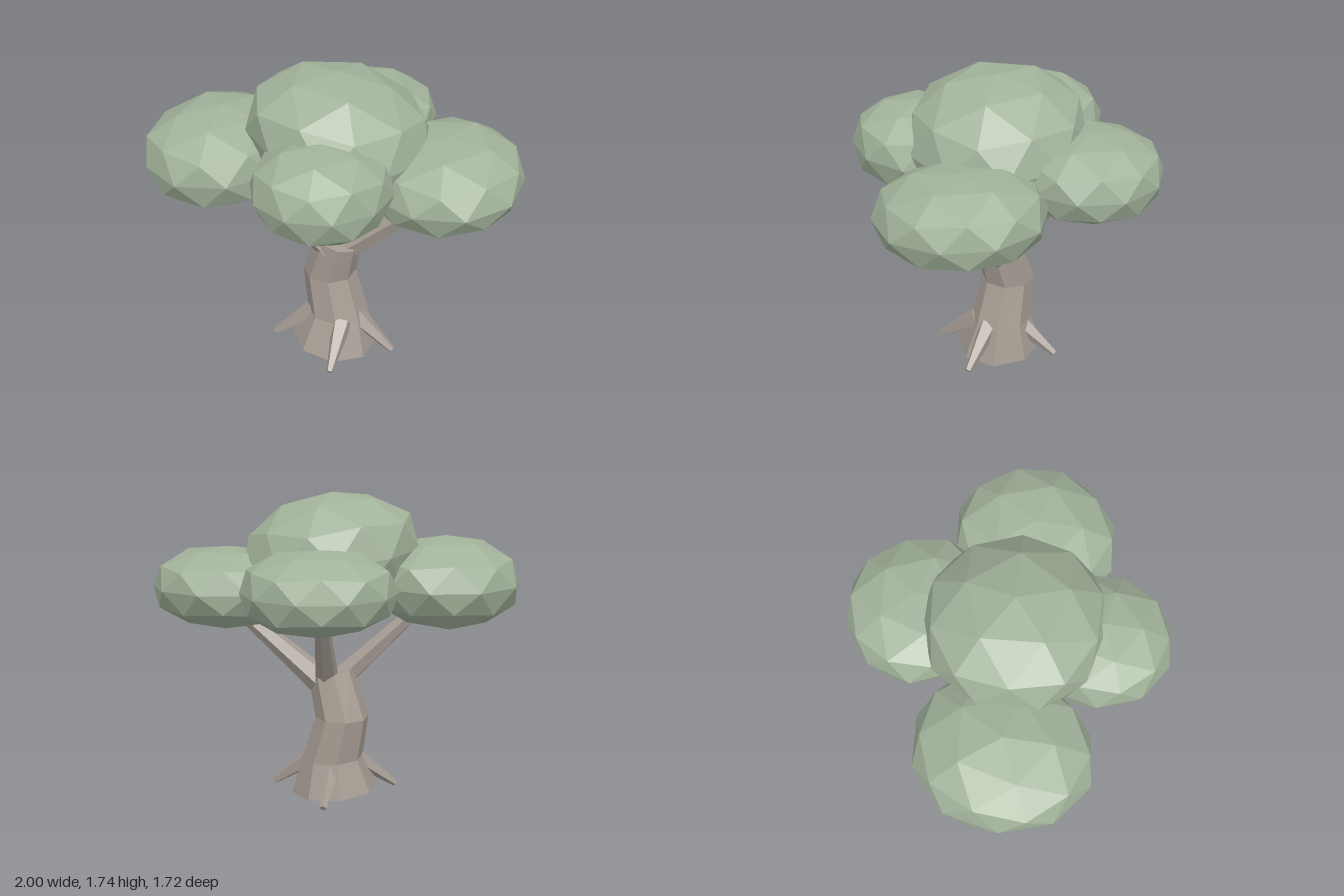
import * as THREE from 'three';

export function createModel() {
  const tree = new THREE.Group();
  tree.name = 'tree';
  const bark = new THREE.MeshStandardMaterial({ color: 0xa59b92, flatShading: true });
  bark.name = 'bark';
  const leaf = new THREE.MeshStandardMaterial({ color: 0xa1b29a, flatShading: true });
  leaf.name = 'leaf';

  const add = (name, geometry, material) => {
    geometry.computeVertexNormals();
    const mesh = new THREE.Mesh(geometry, material);
    mesh.name = name;
    tree.add(mesh);
    return mesh;
  };

  // Move every vertex of a geometry by a rule
  const reshape = (geometry, rule) => {
    const p = geometry.attributes.position;
    const v = new THREE.Vector3();
    for (let i = 0; i < p.count; i++) {
      rule(v.fromBufferAttribute(p, i));
      p.setXYZ(i, v.x, v.y, v.z);
    }
    return geometry;
  };

  // Trunk: a bent, flared eight-sided column; rings are [x, y, z, radius, slope]
  const rings = [
    [0.0, 0.022, 0.06, 0.25, -0.09],
    [0.01, 0.22, 0.04, 0.178, -0.05],
    [-0.05, 0.47, 0.027, 0.153, 0],
    [0.02, 0.715, 0.05, 0.127, -0.25],
  ];
  const column = new THREE.CylinderGeometry(1, 1, 1, 8, rings.length - 1).rotateY(Math.PI / 8);
  add('trunk', reshape(column, (v) => {
    const [x, y, z, r, slope] = rings[Math.round((v.y + 0.5) * (rings.length - 1))];
    v.set(x + v.x * r, y + v.x * r * slope, z + v.z * r);
  }), bark);

  // Tapered limb between two points
  const limb = (name, from, to, r0, r1, sides) => {
    const a = new THREE.Vector3(...from);
    const b = new THREE.Vector3(...to);
    const axis = b.clone().sub(a);
    const mesh = add(name, new THREE.CylinderGeometry(r1, r0, axis.length(), sides), bark);
    mesh.position.copy(a).add(b).multiplyScalar(0.5);
    mesh.quaternion.setFromUnitVectors(new THREE.Vector3(0, 1, 0), axis.normalize());
  };

  // Branches
  limb('leftBranch', [0.04, 0.64, 0.03], [0.58, 1.1, -0.03], 0.082, 0.035, 6);
  limb('rightBranch', [-0.01, 0.66, 0.1], [-0.48, 1.12, 0.2], 0.07, 0.037, 6);
  limb('backBranch', [0.04, 0.65, 0.04], [-0.03, 1.12, -0.33], 0.07, 0.037, 6);

  // Roots: thick ends sunk into the trunk
  limb('frontRoot', [0.09, 0.21, 0.15], [0.13, 0.03, 0.39], 0.062, 0.02, 5);
  limb('leftRoot', [0.13, 0.21, 0.05], [0.37, 0.03, 0.05], 0.062, 0.02, 5);
  limb('rightRoot', [-0.1, 0.22, 0.1], [-0.33, 0.03, 0.2], 0.06, 0.02, 5);
  limb('backRoot', [-0.01, 0.195, -0.06], [-0.03, 0.03, -0.3], 0.06, 0.02, 5);

  // Foliage: slightly boxy, uneven icospheres with a corner at the pole;
  // each is [name, centre, radii, turn, boxiness, drop of the +x and +z sides]
  const foliage = [
    ['crown', [0.02, 1.395, 0.05], [0.505, 0.345, 0.5], Math.PI / 10, 2.15, [0.05, -0.02]],
    ['rightFoliage', [-0.59, 1.245, 0.235], [0.425, 0.25, 0.475], 0, 2.3, [0, 0]],
    ['leftFoliage', [0.59, 1.21, -0.07], [0.425, 0.23, 0.45], 0, 2.25, [0, 0.02]],
    ['frontFoliage', [0.135, 1.295, 0.475], [0.365, 0.25, 0.385], 0, 2.25, [0, -0.02]],
    ['backFoliage', [-0.055, 1.27, -0.47], [0.41, 0.22, 0.395], 0, 2.3, [0, 0]],
  ];
  const tilt = -Math.atan(2 / (1 + Math.sqrt(5)));
  foliage.forEach(([name, centre, size, turn, p, drop], k) => {
    const ball = new THREE.IcosahedronGeometry(1, 1).rotateZ(tilt).rotateY(turn);
    reshape(ball, (v) => {
      const bulge = (Math.hypot(v.x, v.z) ** p + Math.abs(v.y) ** p) ** (-1 / p);
      const uneven = 0.025 * Math.sin(7 * v.x + 2 * k) * Math.cos(6 * v.z + 5 * v.y + k);
      v.multiplyScalar(bulge * (1 + uneven));
      v.set(v.x * size[0], v.y * size[1] - v.x * drop[0] - v.z * drop[1], v.z * size[2]);
    });
    add(name, ball, leaf).position.set(...centre);
  });

  return tree;
}
